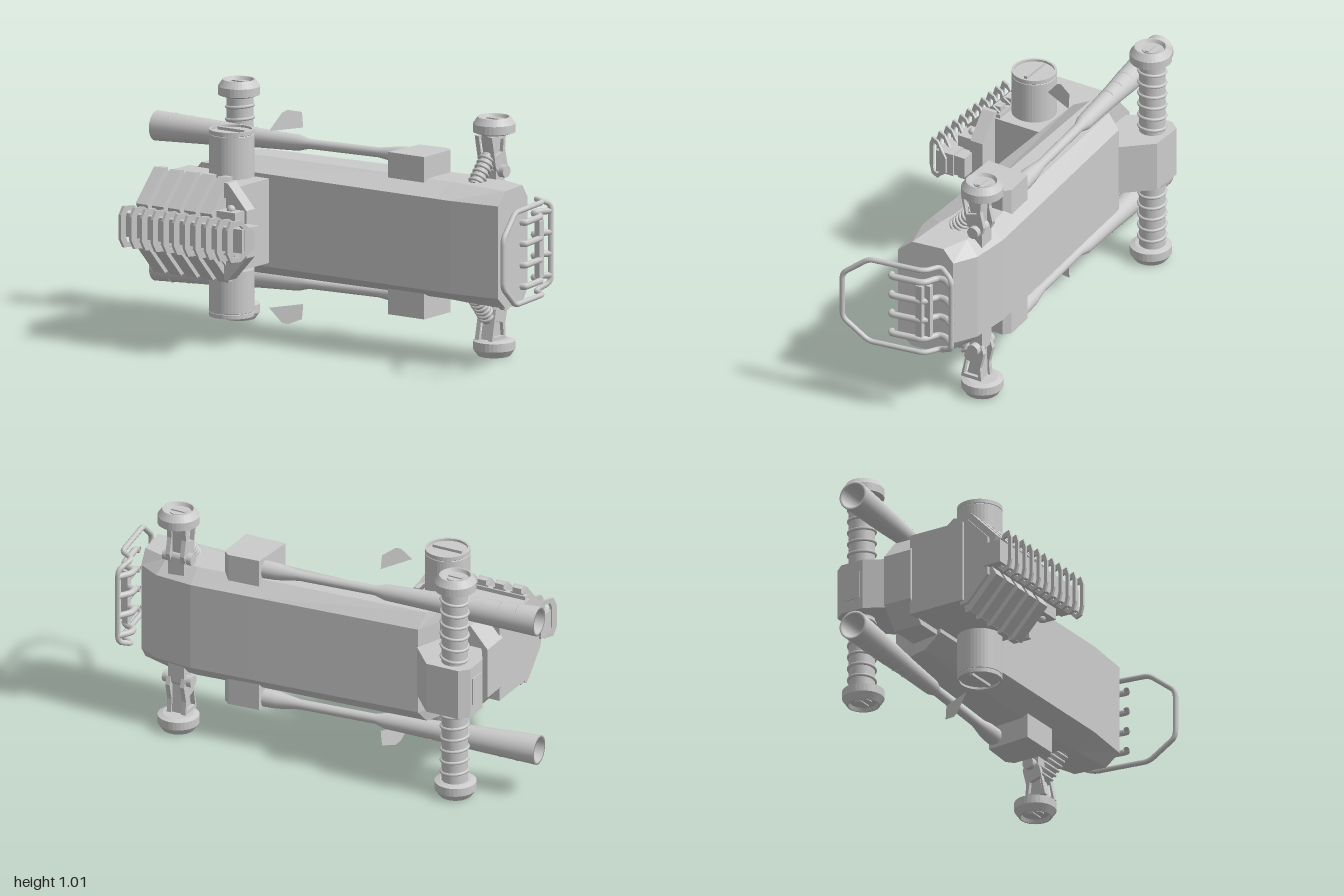
import * as THREE from 'three';

const mat = new THREE.MeshStandardMaterial({ color: 0xcccccc, side: THREE.DoubleSide });
const flat = new THREE.MeshStandardMaterial({ color: 0xcccccc, flatShading: true, side: THREE.DoubleSide });
const V = (x, y, z) => new THREE.Vector3(x, y, z);

function add(parent, name, geo, m = flat, x = 0, y = 0, z = 0) {
  const mesh = new THREE.Mesh(geo, m);
  mesh.name = name;
  mesh.position.set(x, y, z);
  parent.add(mesh);
  return mesh;
}
const box = (p, name, x0, x1, y0, y1, z0, z1) =>
  add(p, name, new THREE.BoxGeometry(x1 - x0, y1 - y0, z1 - z0), flat, (x0 + x1) / 2, (y0 + y1) / 2, (z0 + z1) / 2);
const shapeOf = (pts) => new THREE.Shape(pts.map((p) => new THREE.Vector2(p[0], p[1])));
const extrude = (shape, depth) => new THREE.ExtrudeGeometry(shape, { depth, bevelEnabled: false });

// Prism along x from [z, y] points, and prism along y from [x, z] points
const alongX = (pts, x0, x1, hole) => {
  const s = shapeOf(pts.map(([z, y]) => [-z, y]));
  if (hole) s.holes.push(shapeOf(hole.map(([z, y]) => [-z, y])));
  return extrude(s, x1 - x0).rotateY(Math.PI / 2).translate(x0, 0, 0);
};
const alongY = (pts, y0, y1) =>
  extrude(shapeOf(pts.map(([x, z]) => [x, -z])), y1 - y0).rotateX(-Math.PI / 2).translate(0, y0, 0);
// Half outline completed by its mirror across y = 0
const sym = (half) => [...half, ...half.slice().reverse().map(([z, y]) => [z, -y])];

const lathe = (pts, n = 32) => new THREE.LatheGeometry(pts.map((p) => new THREE.Vector2(p[0], p[1])), n);
function rod(p, name, a, b, r0, r1 = r0) {
  const d = b.clone().sub(a);
  const m = add(p, name, new THREE.CylinderGeometry(r1, r0, d.length(), 20), mat);
  m.position.copy(a).addScaledVector(d, 0.5);
  m.quaternion.setFromUnitVectors(V(0, 1, 0), d.normalize());
  return m;
}
function pipePath(points, closed) {
  const path = new THREE.CurvePath();
  const n = points.length;
  const mix = (a, b) => a.clone().lerp(b, Math.min(0.4, 0.025 / a.distanceTo(b)));
  for (let i = 0; i < n - (closed ? 0 : 1); i++) {
    const a = points[i], b = points[(i + 1) % n], c = points[(i + 2) % n];
    const s = !closed && i === 0 ? a : mix(a, b);
    const last = !closed && i === n - 2;
    path.add(new THREE.LineCurve3(s, last ? b : mix(b, a)));
    if (!last) path.add(new THREE.QuadraticBezierCurve3(mix(b, a), b, mix(b, c)));
  }
  return path;
}

// Hull lofted through eight-sided sections
function hullGeometry() {
  // xTop, xBottom, top z, shoulder z, lower z, bottom z
  const rows = [
    [-0.565, -0.535, -0.04, -0.13, -0.17, -0.2], [-0.55, -0.495, -0.04, -0.13, -0.25, -0.305],
    [0.24, 0.24, -0.04, -0.155, -0.3, -0.363], [0.53, 0.53, -0.04, -0.155, -0.325, -0.385],
    [0.6, 0.7, -0.04, -0.14, -0.31, -0.37], [0.83, 0.8, -0.065, -0.13, -0.27, -0.315],
  ];
  const rings = rows.map(([xt, xb, t, c, l, b]) =>
    [[0.248, l], [0.248, c], [0.195, t], [-0.195, t], [-0.248, c], [-0.248, l], [-0.19, b], [0.19, b]]
      .map(([y, z]) => [xt + (xb - xt) * (t - z) / (t - b), y, z]));
  const pos = [], tri = (...p) => p.forEach((q) => pos.push(...q));
  for (let i = 0; i + 1 < rings.length; i++)
    for (let j = 0; j < 8; j++) {
      const k = (j + 1) % 8, a = rings[i], b = rings[i + 1];
      tri(a[j], a[k], b[j]);
      tri(a[k], b[k], b[j]);
    }
  const end = rings[rings.length - 1], start = rings[0];
  for (let j = 1; j < 7; j++) {
    tri(end[0], end[j], end[j + 1]);
    tri(start[0], start[j + 1], start[j]);
  }
  const g = new THREE.BufferGeometry();
  g.setAttribute('position', new THREE.Float32BufferAttribute(pos, 3));
  g.computeVertexNormals();
  return g;
}

function wheel(p, name, x, z) {
  add(p, name, lathe([[0, 0.432], [0.065, 0.432], [0.0875, 0.44], [0.0875, 0.475], [0.068, 0.503],
    [0.062, 0.503], [0.055, 0.488], [0.036, 0.486], [0.036, 0.492], [0, 0.492]]), flat, x, 0, z);
  box(p, name + 'Slot', x - 0.032, x + 0.032, 0.488, 0.497, z - 0.008, z + 0.008);
}

// Everything that exists once per flank, built for +y
function flank() {
  const g = new THREE.Group();
  g.name = 'flank';
  wheel(g, 'rearWheel', -0.69, -0.338);
  wheel(g, 'frontWheel', 0.612, -0.338);

  // Rear axle with rings
  rod(g, 'rearAxle', V(-0.69, 0, -0.345), V(-0.69, 0.44, -0.345), 0.055);
  for (let i = 0; i < 6; i++) {
    const ring = add(g, 'axleRing', new THREE.TorusGeometry(0.056, 0.007, 8, 28), mat, -0.69, 0.13 + i * 0.052, -0.345);
    ring.rotation.set(Math.PI / 2, 0.1, 0);
  }

  // Front wheel fork and shock absorber
  const arm = [[-0.262, 0.43], [-0.36, 0.43], [-0.355, 0.37], [-0.372, 0.3], [-0.36, 0.265], [-0.325, 0.255], [-0.29, 0.3]];
  const slot = [[-0.275, 0.415], [-0.345, 0.415], [-0.338, 0.36], [-0.288, 0.345]];
  for (const s of [-1, 1]) add(g, 'frontFork', alongX(arm, 0.612 + s * 0.034 - 0.01, 0.612 + s * 0.034 + 0.01, slot));
  add(g, 'forkWeb', alongX([[-0.28, 0.43], [-0.35, 0.43], [-0.345, 0.3], [-0.31, 0.3]], 0.585, 0.64));
  rod(g, 'forkPivot', V(0.545, 0.28, -0.333), V(0.68, 0.28, -0.333), 0.026);
  box(g, 'forkMount', 0.575, 0.65, 0.2, 0.285, -0.36, -0.3);
  const a = V(0.612, 0.235, -0.205), b = V(0.612, 0.345, -0.3);
  rod(g, 'shock', a, b, 0.028);
  for (let i = 0; i < 6; i++) {
    const t = a.clone().lerp(b, 0.1 + i * 0.15);
    const ring = add(g, 'shockCoil', new THREE.TorusGeometry(0.03, 0.007, 8, 20), mat, t.x, t.y, t.z);
    ring.lookAt(b.clone().add(b).sub(a));
  }

  // Exhaust: side box, pipe and flared muffler with an open tip
  add(g, 'exhaustBox', alongY([[0.225, -0.125], [0.41, -0.125], [0.41, -0.31], [0.38, -0.335], [0.24, -0.325]], 0.2, 0.342));
  const len = 1.235;
  const pipe = add(g, 'exhaustPipe', lathe([[0.038, 0], [0.036, 0.06], [0.021, 0.16], [0.021, 0.5], [0.034, 0.55],
    [0.042, 0.78], [0.052, 0.95], [0.063, len], [0.052, len], [0.04, len - 0.2], [0, len - 0.2]], 28), mat, 0.23, 0.295, -0.295);
  const dir = V(-1.23, 0, 0.108).normalize();
  pipe.quaternion.setFromUnitVectors(V(0, 1, 0), dir);
  for (let i = 0; i < 6; i++) {
    const d = 0.76 + i * 0.078, r = 0.041 + i * 0.0036;
    const rib = add(g, 'mufflerRib', new THREE.TorusGeometry(r, 0.003, 6, 14, 1.5), mat);
    rib.position.set(0.23, 0.295, -0.295).addScaledVector(dir, d);
    rib.rotation.set(0, Math.PI / 2, 0);
    rib.rotateZ(0.8);
  }

  // Upright drum with a slotted cap
  add(g, 'drum', lathe([[0, 0.195], [0.094, 0.195], [0.094, 0.372], [0.092, 0.374], [0.094, 0.376], [0.094, 0.393],
    [0.084, 0.393], [0.084, 0.383], [0, 0.383]], 40), flat, -0.432, 0, 0.068);
  box(g, 'drumSlot', -0.5, -0.364, 0.38, 0.395, 0.06, 0.076);

  // Thin deflector plate
  const plate = new THREE.ShapeGeometry(shapeOf([[-0.06, 0.372], [-0.12, 0.442], [-0.145, 0.452], [-0.205, 0.437], [-0.205, 0.372]]));
  const pp = plate.attributes.position;
  for (let i = 0; i < pp.count; i++) {
    const z = pp.getX(i), y = pp.getY(i);
    pp.setXYZ(i, -0.335 + (-0.06 - z) * 0.48 - (y - 0.372) * 0.1, y, z);
  }
  plate.computeVertexNormals();
  add(g, 'deflector', plate);

  // Bolt on the engine nose
  add(g, 'engineBolt', new THREE.SphereGeometry(0.018, 16, 10), mat, -0.285, 0.105, 0.275);
  return g;
}

function engine() {
  const g = new THREE.Group();
  g.name = 'engine';
  box(g, 'engineBlock', -0.75, -0.32, -0.178, 0.178, -0.07, 0.19);
  add(g, 'engineHead', alongX(sym([[0.17, 0.195], [0.205, 0.19], [0.305, 0.085]]), -0.74, -0.33));
  const nose = [[-0.34, 0.205], [-0.32, 0.205], [-0.225, 0.1], [-0.225, -0.1], [-0.32, -0.205], [-0.34, -0.205]];
  add(g, 'engineNose', extrude(shapeOf(nose), 0.06), flat, 0, 0, 0.19);
  box(g, 'noseBlock', -0.33, -0.235, -0.1, 0.1, 0.22, 0.315);
  box(g, 'noseCap', -0.25, -0.165, -0.045, 0.045, 0.24, 0.35);

  // Ribs wrapping both banks
  const bank = [[0.18, 0.16], [0.18, 0.2], [0.212, 0.222], [0.34, 0.088], [0.315, 0.045], [0.24, 0.09]];
  for (let i = 0; i < 5; i++) {
    const x = -0.695 + i * 0.082;
    for (const s of [1, -1]) {
      const pts = bank.map(([z, y]) => [z, y * s]);
      add(g, 'engineRib', alongX(pts, x - 0.029, x + 0.029));
      box(g, 'ribFoot', x - 0.02, x + 0.02, s * 0.208 - 0.012, s * 0.208 + 0.012, 0.18, 0.208);
    }
  }

  // Intake rail with slanted window frames
  box(g, 'intakeRail', -0.75, -0.157, -0.05, 0.05, 0.29, 0.375);
  const frame = sym([[0.315, 0.035], [0.345, 0.06], [0.372, 0.087], [0.412, 0.087], [0.427, 0.05]]);
  const hole = sym([[0.355, 0.045], [0.372, 0.066], [0.398, 0.066], [0.405, 0.045]]);
  for (let i = 0; i < 11; i++) {
    const geo = alongX(frame, -0.006, 0.006, hole);
    const p = geo.attributes.position;
    for (let k = 0; k < p.count; k++) p.setX(k, p.getX(k) - (p.getZ(k) - 0.385) * 0.5);
    geo.computeVertexNormals();
    add(g, 'intakeFrame', geo, flat, -0.722 + i * 0.0545, 0, 0);
  }
  return g;
}

function frontGuard() {
  const g = new THREE.Group();
  g.name = 'frontGuard';
  const half = [[0.984, 0.105, 0.11], [0.962, 0.195, -0.005], [0.925, 0.195, -0.25], [0.855, 0.195, -0.29], [0.885, 0.165, -0.36]];
  const loop = [...half.map(([x, y, z]) => V(x, y, z)), ...half.slice().reverse().map(([x, y, z]) => V(x, -y, z))];
  add(g, 'guardTube', new THREE.TubeGeometry(pipePath(loop, true), 200, 0.0115, 10, true), mat);
  for (const y of [-0.135, -0.045, 0.045, 0.135]) {
    const pts = [V(0.925, y, -0.095), V(0.945, y, -0.1), V(0.922, y, -0.245), V(0.855, y, -0.275), V(0.852, y, -0.31), V(0.885, y, -0.36)];
    add(g, 'guardBar', new THREE.TubeGeometry(pipePath(pts, false), 50, 0.014, 8), mat);
  }
  for (const [x, z] of [[0.922, -0.23], [0.9, -0.258]])
    box(g, 'guardCrossBar', x - 0.012, x + 0.012, -0.12, 0.12, z - 0.015, z + 0.015);
  return g;
}

export function createModel() {
  const root = new THREE.Group();
  root.name = 'vehicle';
  const g = new THREE.Group();
  g.name = 'vehicleBody';
  g.position.y = 0.503;
  root.add(g);

  add(g, 'hull', hullGeometry());
  // Rear axle housing with inset panel
  add(g, 'axleHousing', alongY([[-0.785, -0.385], [-0.75, -0.425], [-0.6, -0.425], [-0.49, -0.305], [-0.47, -0.17],
    [-0.72, -0.17], [-0.785, -0.28]], -0.11, 0.11));
  box(g, 'housingPanel', -0.79, -0.78, -0.06, 0.06, -0.37, -0.295);
  add(g, 'rearBracket', extrude(shapeOf([[-0.76, 0.11], [-0.68, 0.2], [-0.5, 0.2], [-0.5, -0.2], [-0.68, -0.2], [-0.76, -0.11]]), 0.13), flat, 0, 0, -0.19);

  g.add(engine(), frontGuard());
  const upper = flank(), lower = flank();
  lower.scale.y = -1;
  g.add(upper, lower);
  return root;
}
